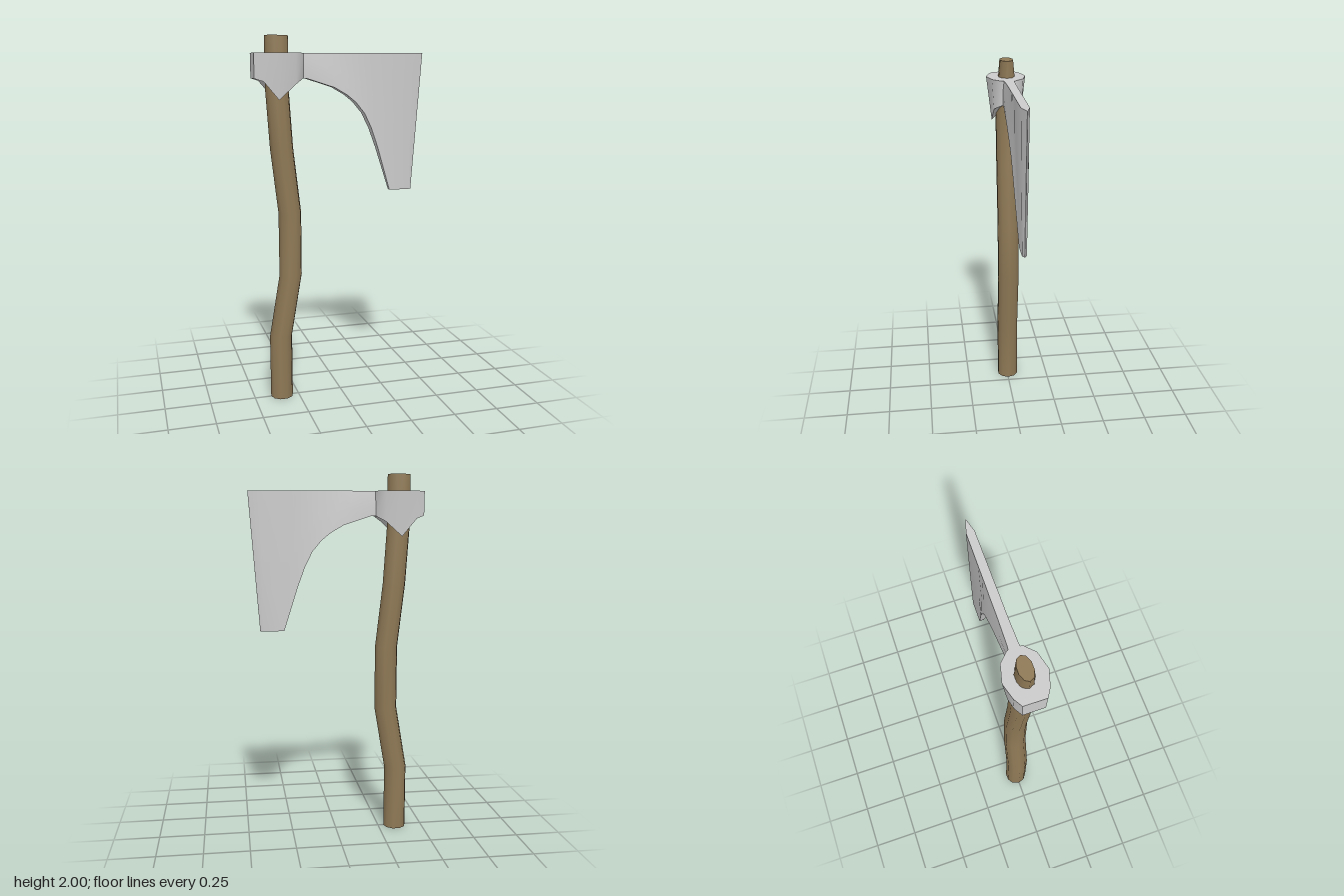
import * as THREE from 'three';
import { toCreasedNormals } from 'three/addons/utils/BufferGeometryUtils.js';

// Skin closed rings of [x, y, z] points, counter-clockwise seen from the travel direction
function loft(rings, crease) {
  const n = rings[0].length, last = (rings.length - 1) * n;
  const pos = rings.flat(2), index = [];
  for (let i = 0; i < rings.length - 1; i++) {
    for (let j = 0; j < n; j++) {
      const a = i * n + j, b = i * n + (j + 1) % n;
      index.push(a, b, b + n, a, b + n, a + n);
    }
  }
  // End caps as fans around the ring centres
  [rings[0], rings[rings.length - 1]].forEach((ring, end) => {
    const c = pos.length / 3, o = end ? last : 0;
    for (let k = 0; k < 3; k++) pos.push(ring.reduce((s, p) => s + p[k], 0) / n);
    for (let j = 0; j < n; j++) {
      const a = o + j, b = o + (j + 1) % n;
      index.push(...(end ? [c, a, b] : [c, b, a]));
    }
  });
  const g = new THREE.BufferGeometry();
  g.setAttribute('position', new THREE.Float32BufferAttribute(pos, 3));
  g.setIndex(index);
  return toCreasedNormals(g, crease);
}

export function createModel() {
  const wood = new THREE.MeshStandardMaterial({ color: 0x8f7956 });
  const steel = new THREE.MeshStandardMaterial({ color: 0xcccccc });
  const group = new THREE.Group();
  const add = (name, geometry, material) => {
    const mesh = new THREE.Mesh(geometry, material);
    mesh.name = name;
    group.add(mesh);
  };

  // Bent handle: [y, centre x, z radius]
  const sides = 10;
  const handle = [
    [0, -0.345, 0.063], [0.36, -0.345, 0.063], [0.71, -0.285, 0.063], [1.06, -0.285, 0.063],
    [1.41, -0.325, 0.063], [1.72, -0.345, 0.063], [2, -0.346, 0.037],
  ].map(([y, x, rz]) => Array.from({ length: sides }, (_, j) => {
    const t = j / sides * Math.PI * 2;
    return [x + 0.063 * Math.cos(t), y, -0.003 - rz * Math.sin(t)];
  }));
  add('handle', loft(handle, 0.9), wood);

  // Socket collar with a pointed lug on each side: [x, half depth, lower y, lower depth]
  const half = [
    [-0.21, 0.035, 1.78, 0.032], [-0.26, 0.085, 1.75, 0.075], [-0.35, 0.108, 1.67, 0.08],
    [-0.43, 0.085, 1.765, 0.078], [-0.475, 0.058, 1.78, 0.055],
  ];
  const around = [...half.map((p) => [p, -1]), ...half.slice().reverse().map((p) => [p, 1])];
  add('socket', loft([
    around.map(([p, s]) => [p[0], p[2], s * p[3]]),
    around.map(([p, s]) => [p[0], 1.91, s * p[1]]),
  ], 0.9), steel);

  // Bearded blade: [top x, bottom x, bottom y, half thickness at top, middle, bottom]
  const blade = [
    [-0.23, -0.23, 1.78, 0.03, 0.035, 0.033],
    [-0.19, -0.19, 1.778, 0.026, 0.034, 0.034],
    [-0.1, -0.04, 1.73, 0.024, 0.033, 0.037],
    [-0.04, 0.03, 1.69, 0.023, 0.032, 0.037],
    [0.01, 0.08, 1.65, 0.023, 0.031, 0.036],
    [0.06, 0.13, 1.59, 0.023, 0.03, 0.033],
    [0.11, 0.17, 1.51, 0.022, 0.028, 0.03],
    [0.16, 0.21, 1.4, 0.022, 0.024, 0.025],
    [0.22, 0.285, 1.16, 0.022, 0.018, 0.012],
    [0.4, 0.4, 1.16, 0.021, 0.017, 0.012],
    [0.47, 0.415, 1.16, 0.001, 0.001, 0.001],
  ].map(([tx, bx, by, tt, tm, tb]) => {
    const mx = (tx + bx) / 2, my = (1.91 + by) / 2, z = -0.003;
    return [
      [bx, by, z - tb], [mx, my, z - tm], [tx, 1.91, z - tt],
      [tx, 1.91, z + tt], [mx, my, z + tm], [bx, by, z + tb],
    ];
  });
  add('blade', loft(blade, 0.7), steel);

  return group;
}
